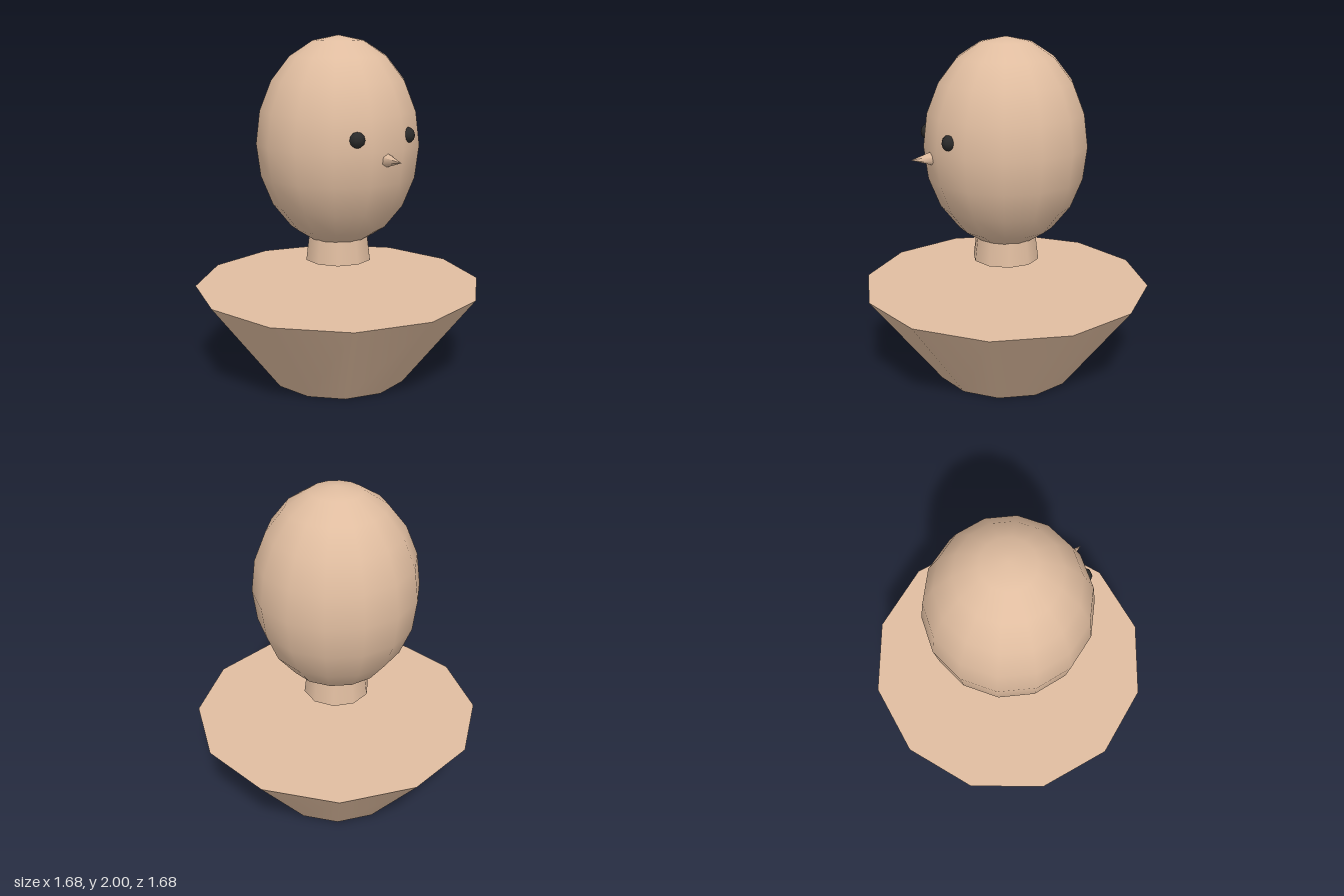
import * as THREE from 'three';

export function createModel() {
  const model = new THREE.Group();
  const skin = new THREE.MeshStandardMaterial({ name: 'skin', color: 0xe0bda0 });
  const black = new THREE.MeshStandardMaterial({ name: 'eye black', color: 0x2a2a2a });

  function add(name, geometry, material, x, y, z) {
    const mesh = new THREE.Mesh(geometry, material);
    mesh.name = name;
    mesh.position.set(x, y, z);
    model.add(mesh);
    return mesh;
  }

  // Flared twelve-sided body
  add('body', new THREE.CylinderGeometry(0.84, 0.415, 0.56, 12), skin, 0, 0.28, 0);

  // Tapered neck, floating above the body and reaching into the head
  add('neck', new THREE.CylinderGeometry(0.163, 0.195, 0.26, 10), skin, 0, 0.843, 0);

  // Egg-shaped head
  add('head', new THREE.SphereGeometry(0.47, 14, 10), skin, 0, 1.4, 0).scale.y = 0.6 / 0.47;

  // Eyes, half sunk in the face
  for (const side of [-1, 1]) {
    add(side > 0 ? 'leftEye' : 'rightEye', new THREE.SphereGeometry(0.045, 8, 6), black, side * 0.17, 1.47, 0.405);
  }

  // Pointed nose
  const nose = new THREE.ConeGeometry(0.042, 0.13, 6);
  nose.rotateX(Math.PI / 2);
  add('nose', nose, skin, 0, 1.354, 0.502);

  return model;
}
